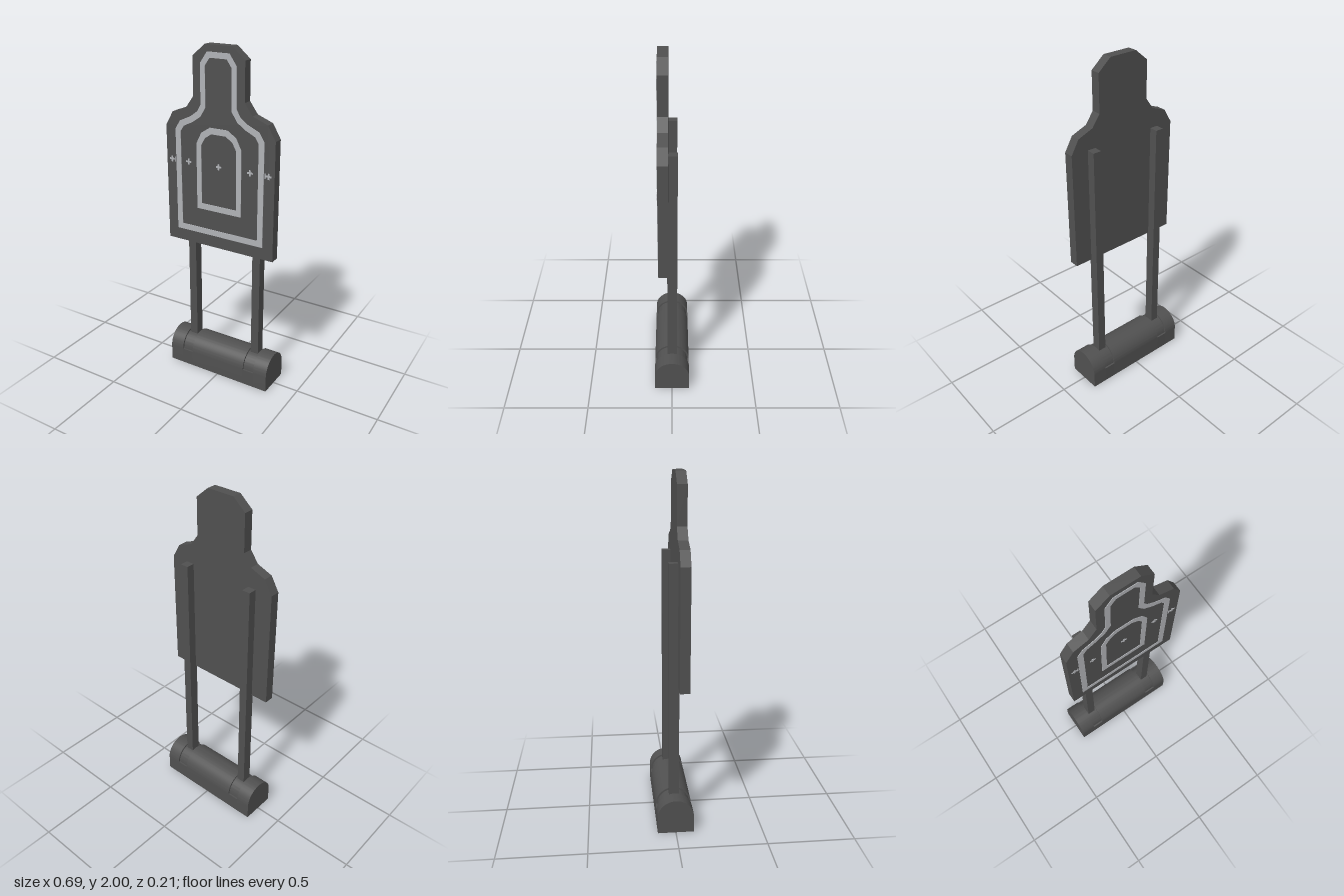
import * as THREE from 'three';
import { toCreasedNormals } from 'three/addons/utils/BufferGeometryUtils.js';

const darkMetal = new THREE.MeshStandardMaterial({ color: 0x505050 });
darkMetal.name = 'dark grey';
const paint = new THREE.MeshStandardMaterial({ color: 0xb0b2b6 });
paint.name = 'light grey paint';

const FRONT = 0.075; // z of the board's front face

// Closed outline from its right half, listed bottom to top
function mirrored(half) {
  const pts = half.map(([x, y]) => new THREE.Vector2(x, y));
  const left = half.map(([x, y]) => new THREE.Vector2(-x, y)).reverse();
  return pts.concat(left);
}

function extrude(shape, depth, curveSegments = 16) {
  return new THREE.ExtrudeGeometry(shape, { depth, bevelEnabled: false, curveSegments });
}

function addMesh(parent, name, geometry, material, x = 0, y = 0, z = 0) {
  const mesh = new THREE.Mesh(geometry, material);
  mesh.name = name;
  mesh.position.set(x, y, z);
  parent.add(mesh);
  return mesh;
}

// Flat painted band between two outlines
function addBand(parent, name, outer, inner) {
  const shape = new THREE.Shape(mirrored(outer));
  shape.holes.push(new THREE.Path(mirrored(inner).reverse()));
  addMesh(parent, name, extrude(shape, 0.003), paint, 0, 0, FRONT);
}

// Base cross-section: straight sides with a half-round top of radius r
function baseProfile(r) {
  const R = 0.104, c = 0.098;
  const s = new THREE.Shape();
  s.moveTo(-R, 0);
  s.lineTo(R, 0);
  s.lineTo(R, c);
  if (r < R) s.lineTo(r, c);
  s.absarc(0, c, r, 0, Math.PI, false);
  if (r < R) s.lineTo(-R, c);
  s.lineTo(-R, 0);
  return s;
}

export function createModel() {
  const model = new THREE.Group();
  model.name = 'silhouetteTarget';

  // Base: full-size sections alternating with shallow grooves at the posts
  const base = new THREE.Group();
  base.name = 'base';
  model.add(base);
  const cuts = [-0.34, -0.253, -0.182, 0.182, 0.253, 0.34];
  for (let i = 0; i < 5; i++) {
    const groove = i % 2 === 1;
    const geo = extrude(baseProfile(groove ? 0.094 : 0.104), cuts[i + 1] - cuts[i], 24);
    geo.rotateY(Math.PI / 2);
    addMesh(base, groove ? 'baseGroove' : 'baseSection', toCreasedNormals(geo, 0.5), darkMetal, cuts[i]);
  }

  // Posts
  for (const side of [-1, 1]) {
    addMesh(model, side > 0 ? 'leftPost' : 'rightPost',
      new THREE.BoxGeometry(0.049, 1.44, 0.057), darkMetal, side * 0.2175, 0.82, -0.0015);
  }

  // Board with head and shoulders
  const outline = [[0.345, 0.853], [0.345, 1.54], [0.298, 1.62], [0.207, 1.655],
    [0.16, 1.72], [0.16, 1.935], [0.083, 2]];
  addMesh(model, 'board', extrude(new THREE.Shape(mirrored(outline)), FRONT - 0.019), darkMetal, 0, 0, 0.019);

  // Painted scoring bands
  addBand(model, 'outerBand',
    [[0.281, 0.925], [0.281, 1.525], [0.25, 1.575], [0.18, 1.607], [0.135, 1.64],
      [0.112, 1.68], [0.112, 1.9], [0.068, 1.963]],
    [[0.247, 0.96], [0.247, 1.515], [0.225, 1.548], [0.165, 1.577], [0.115, 1.612],
      [0.082, 1.665], [0.082, 1.89], [0.052, 1.932]]);
  addBand(model, 'innerBand',
    [[0.143, 1.077], [0.143, 1.46], [0.11, 1.525], [0.055, 1.56]],
    [[0.112, 1.112], [0.112, 1.452], [0.087, 1.497], [0.045, 1.525]]);

  // Small crosses in a row, with a tick beside each outermost one
  const y = 1.345, z = FRONT + 0.0015;
  for (const x of [-0.31, -0.197, 0, 0.197, 0.31]) {
    addMesh(model, 'crossBar', new THREE.BoxGeometry(0.034, 0.01, 0.003), paint, x, y, z);
    addMesh(model, 'crossStem', new THREE.BoxGeometry(0.01, 0.034, 0.003), paint, x, y, z);
  }
  for (const side of [-1, 1]) {
    addMesh(model, 'tick', new THREE.BoxGeometry(0.006, 0.03, 0.003), paint, side * 0.289, y, z);
  }
  return model;
}
